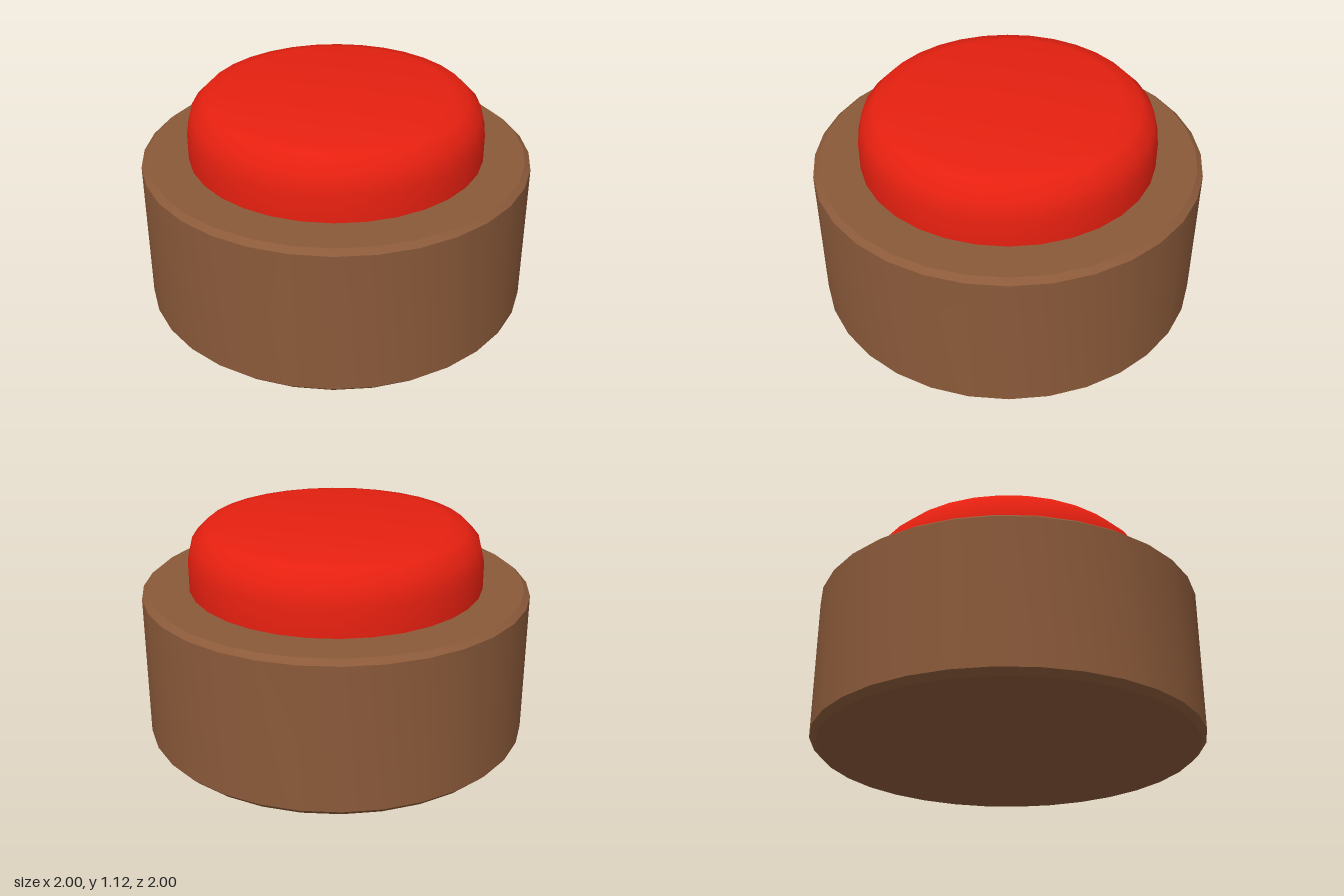
import * as THREE from 'three';
import { toCreasedNormals } from 'three/addons/utils/BufferGeometryUtils.js';

const SIDES = 32;

// Turned part from [radius, height] points, listed bottom to top
function turned(name, color, profile) {
  const points = profile.map(([r, y]) => new THREE.Vector2(r, y));
  const geometry = toCreasedNormals(new THREE.LatheGeometry(points, SIDES), 0.62);
  const mesh = new THREE.Mesh(geometry, new THREE.MeshStandardMaterial({ color }));
  mesh.name = name;
  return mesh;
}

export function createModel() {
  const model = new THREE.Group();
  model.name = 'pushButton';

  // Round housing with chamfered rims
  model.add(turned('base', 0x8b5a3a, [
    [0, 0], [0.97, 0], [1, 0.03], [1, 0.775], [0.97, 0.8], [0, 0.8],
  ]));

  // Cap with a softly rounded shoulder and a flat top
  model.add(turned('buttonCap', 0xe62010, [
    [0.76, 0.8], [0.76, 0.94], [0.735, 1.04], [0.67, 1.105], [0.58, 1.125], [0, 1.125],
  ]));

  return model;
}
